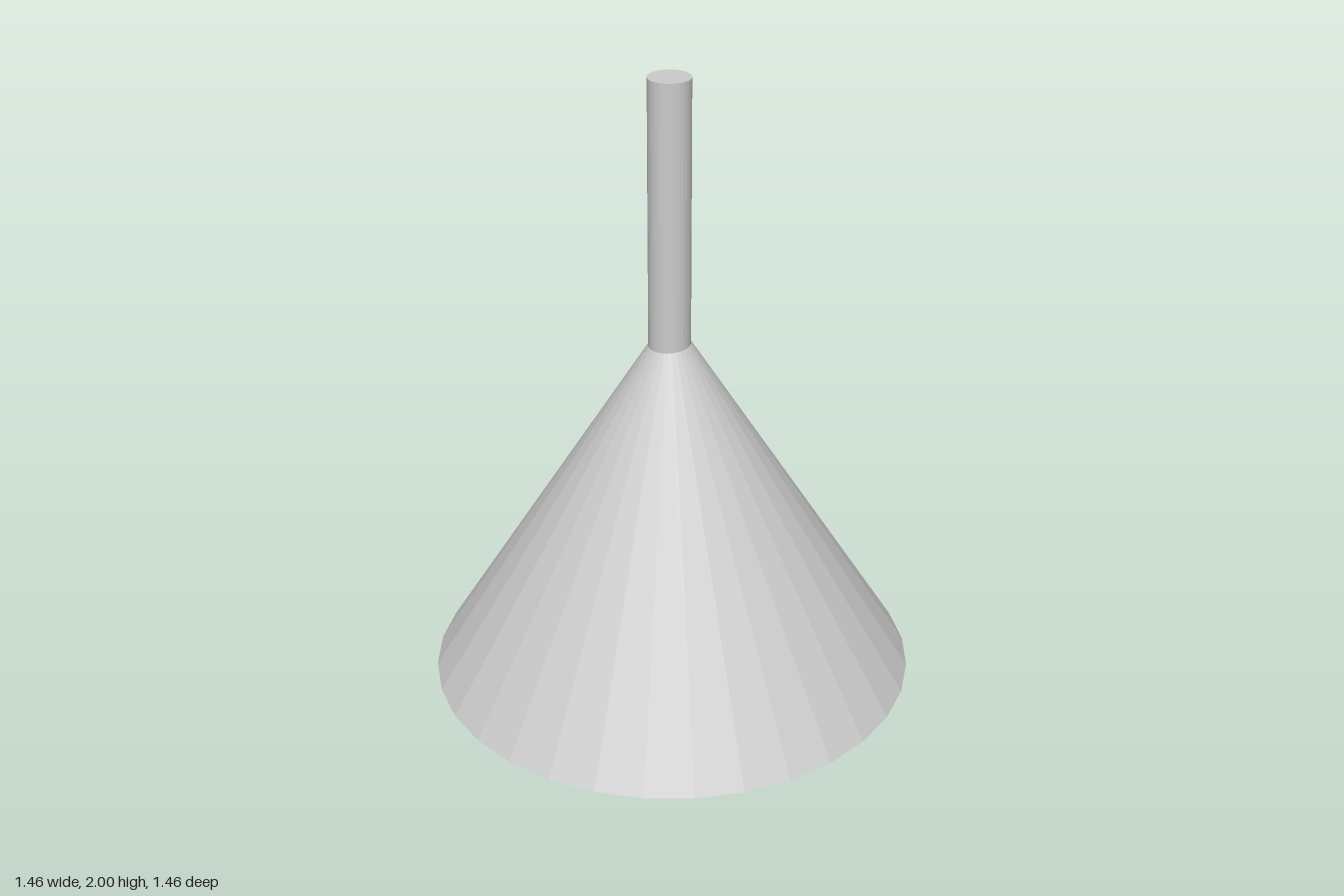
import * as THREE from 'three';

const SIDES = 32;

// Revolves a profile of [radius, y] points into a faceted mesh.
function revolve(name, profile, side = THREE.FrontSide) {
  const points = profile.map(([r, y]) => new THREE.Vector2(r, y));
  const material = new THREE.MeshStandardMaterial({ color: 0xcccccc, flatShading: true, side });
  const mesh = new THREE.Mesh(new THREE.LatheGeometry(points, SIDES), material);
  mesh.name = name;
  return mesh;
}

export function createModel() {
  const lamp = new THREE.Group();
  lamp.name = 'pendantLamp';

  // Closed hanging rod, a touch off centre
  const stem = revolve('stem', [[0, 1.19], [0.062, 1.19], [0.062, 2], [0, 2]]);
  stem.position.set(-0.007, 0, 0.002);

  // Thin open cone, hanging very slightly askew
  const shade = revolve('shade', [[0.73, 0.133], [0.06, 1.205]], THREE.DoubleSide);
  shade.rotation.z = 0.004;

  // Bulb: round bottom, straight taper, then a rounded shoulder
  const radius = 0.228;
  const profile = [];
  for (let i = 0; i <= 12; i++) {
    const a = (i / 12) * (Math.PI / 2 + 0.26);
    profile.push([radius * Math.sin(a), radius * (1 - Math.cos(a))]);
  }
  profile.push([0.16, 0.46], [0.15, 0.5], [0.135, 0.54], [0.12, 0.57]);
  const bulb = revolve('bulb', profile);

  // Socket joining the bulb to the top of the shade
  const socket = revolve('socket', [[0.12, 0.57], [0.12, 0.8], [0.06, 0.84], [0.06, 1.19]]);

  lamp.add(stem, shade, bulb, socket);
  return lamp;
}
